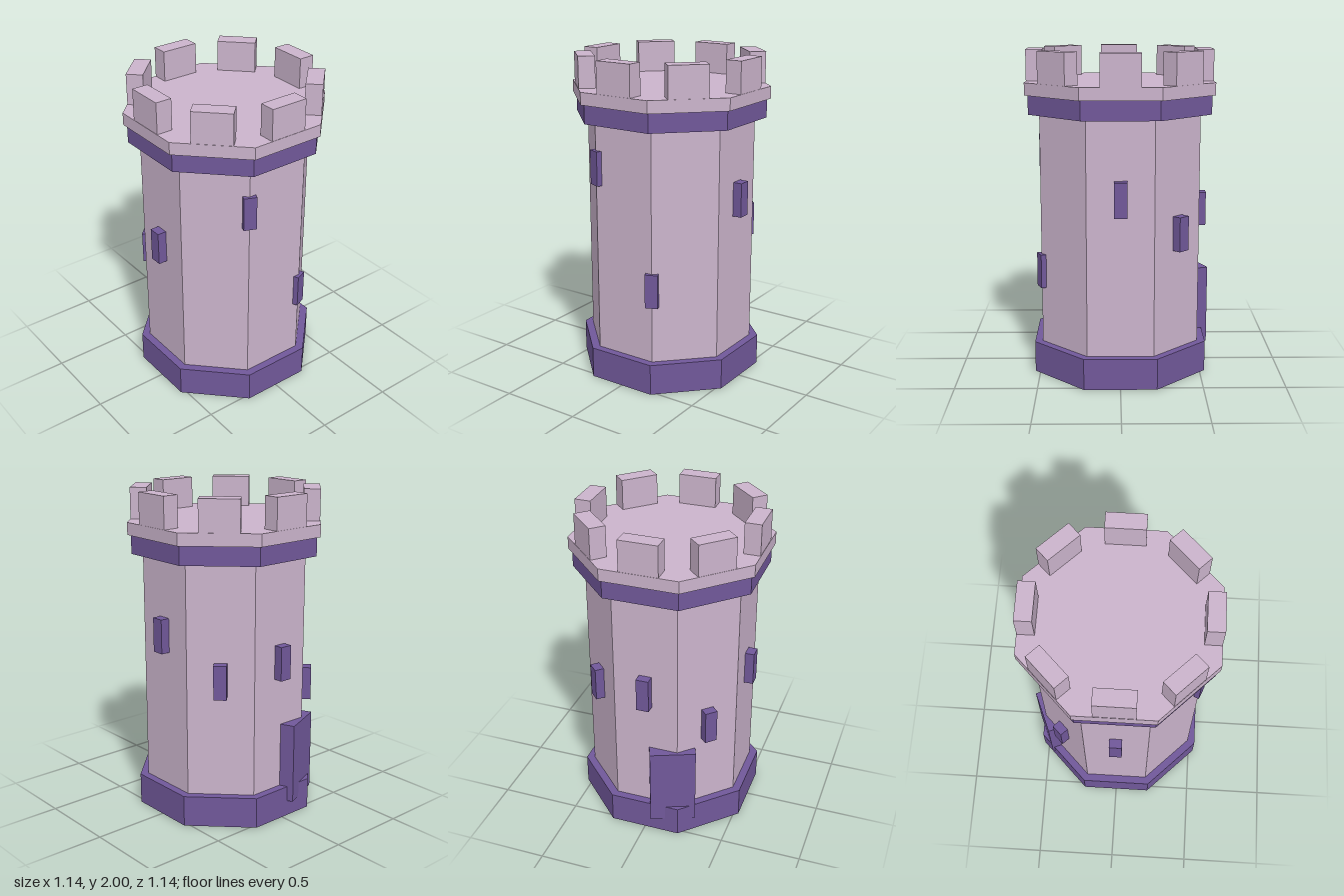
import * as THREE from 'three';

const stone = new THREE.MeshStandardMaterial({ color: 0xcbb4cc });
stone.name = 'pale mauve stone';
const trim = new THREE.MeshStandardMaterial({ color: 0x71589a });
trim.name = 'purple trim';

export function createModel() {
  const tower = new THREE.Group();
  tower.name = 'tower';

  // Eight-sided slab with flat faces, sized by the distance to its flats
  function octagon(name, apothem, y0, y1, material) {
    const r = apothem / Math.cos(Math.PI / 8);
    const geo = new THREE.CylinderGeometry(r, r, y1 - y0, 8).rotateY(Math.PI / 8).toNonIndexed();
    geo.computeVertexNormals();
    const mesh = new THREE.Mesh(geo, material);
    mesh.name = name;
    mesh.position.y = (y0 + y1) / 2;
    tower.add(mesh);
  }

  // Box facing outward at an angle (degrees from +z toward +x), outer face at radius
  function wallBox(name, angle, radius, width, depth, y0, y1, material, shift = 0) {
    const geo = new THREE.BoxGeometry(width, y1 - y0, depth);
    geo.translate(shift, (y0 + y1) / 2, radius - depth / 2);
    const mesh = new THREE.Mesh(geo, material);
    mesh.name = name;
    mesh.rotation.y = THREE.MathUtils.degToRad(angle);
    tower.add(mesh);
  }

  // Walls and rings
  octagon('wall', 0.483, 0, 1.68, stone);
  octagon('base', 0.531, 0.002, 0.195, trim);
  octagon('upperBand', 0.548, 1.62, 1.735, trim);
  octagon('parapet', 0.568, 1.735, 1.81, stone);

  // Battlements, one on each side
  for (let i = 0; i < 8; i++) {
    wallBox('battlement', i * 45, 0.566, 0.236, 0.1, 1.805, 2, stone);
  }

  // Windows: angle and sill height
  const windows = [
    [-22.5, 1.245], [22.5, 0.55], [90, 1.055], [135, 0.82],
    [180, 0.9], [225, 0.66], [270, 0.9],
  ];
  for (const [angle, sill] of windows) {
    wallBox('window', angle, 0.539, 0.078, 0.12, sill, sill + 0.21, trim);
  }

  // Door set across a rear corner
  wallBox('door', 202.5, 0.543, 0.28, 0.15, 0.1, 0.6, trim, -0.028);

  return tower;
}
